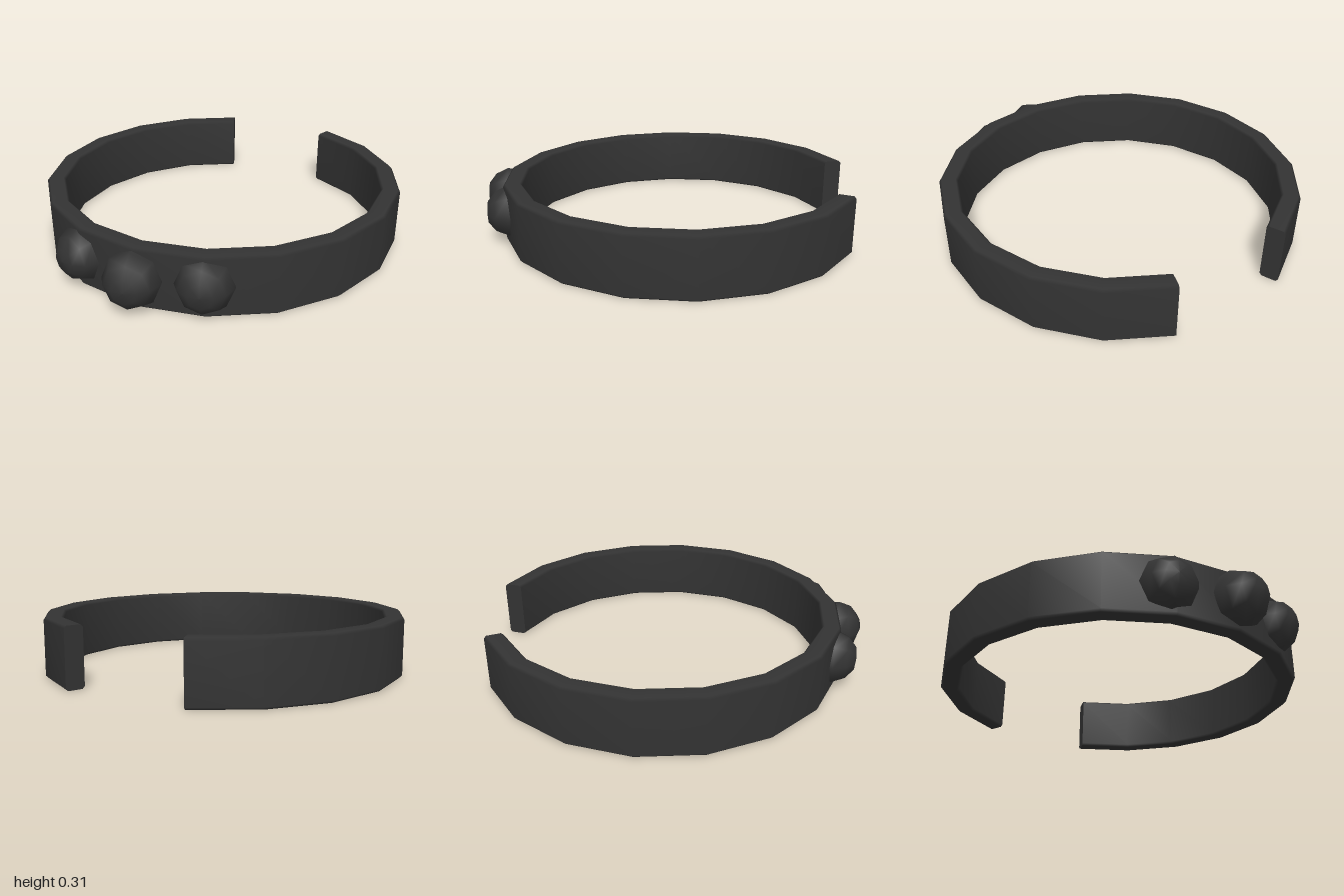
import * as THREE from 'three';

const HEIGHT = 0.305, CENTRE_Z = -0.06, R_IN = 0.85, R_OUT = 0.947;
const START = -56.2, STEP = 20, SEGMENTS = 16;
const BEVEL = 0.012;

// Band cross-section (radius, height), counter-clockwise, with small bevels
const SECTION = [
  [R_IN + BEVEL, 0], [R_OUT - BEVEL, 0], [R_OUT, BEVEL], [R_OUT, HEIGHT - BEVEL],
  [R_OUT - BEVEL, HEIGHT], [R_IN + BEVEL, HEIGHT], [R_IN, HEIGHT - BEVEL], [R_IN, BEVEL],
];

// Sweeps the section round an open arc and closes both ends
function bandGeometry() {
  const n = SECTION.length, positions = [], index = [];
  const addRing = (k) => {
    const a = THREE.MathUtils.degToRad(START + k * STEP);
    for (const [r, y] of SECTION) positions.push(r * Math.cos(a), y, CENTRE_Z + r * Math.sin(a));
  };
  for (let k = 0; k <= SEGMENTS; k++) addRing(k);
  for (let k = 0; k < SEGMENTS; k++) {
    for (let i = 0; i < n; i++) {
      const j = (i + 1) % n, a = k * n + i, b = k * n + j;
      index.push(a, b, b + n, a, b + n, a + n);
    }
  }
  // End caps have their own corners so they stay flat
  for (const k of [0, SEGMENTS]) {
    const base = positions.length / 3;
    addRing(k);
    for (let i = 1; i < n - 1; i++) {
      if (k === 0) index.push(base, base + i + 1, base + i);
      else index.push(base, base + i, base + i + 1);
    }
  }
  const geometry = new THREE.BufferGeometry();
  geometry.setAttribute('position', new THREE.Float32BufferAttribute(positions, 3));
  geometry.setIndex(index);
  geometry.computeVertexNormals();
  return geometry;
}

// Eight-sided domed stud pointing along +z
function studGeometry() {
  const profile = [[0.13, -0.05], [0.14, 0.02], [0.11, 0.085], [0.06, 0.125], [0, 0.132]];
  return new THREE.LatheGeometry(profile.map(([r, y]) => new THREE.Vector2(r, y)), 8)
    .rotateX(Math.PI / 2);
}

export function createModel() {
  const model = new THREE.Group();
  model.name = 'cuffBracelet';
  const material = new THREE.MeshStandardMaterial({ color: 0x333333 });

  const band = new THREE.Mesh(bandGeometry(), material);
  band.name = 'band';
  model.add(band);

  // Studs: x, z and turn about the vertical
  const dome = studGeometry();
  [[-0.525, 0.68, -0.54], [-0.23, 0.865, -0.04], [0.095, 0.84, 0.02]].forEach(([x, z, turn], i) => {
    const stud = new THREE.Mesh(dome, material);
    stud.name = `stud${i + 1}`;
    stud.position.set(x, 0.157, z);
    stud.rotation.y = turn;
    model.add(stud);
  });
  return model;
}
